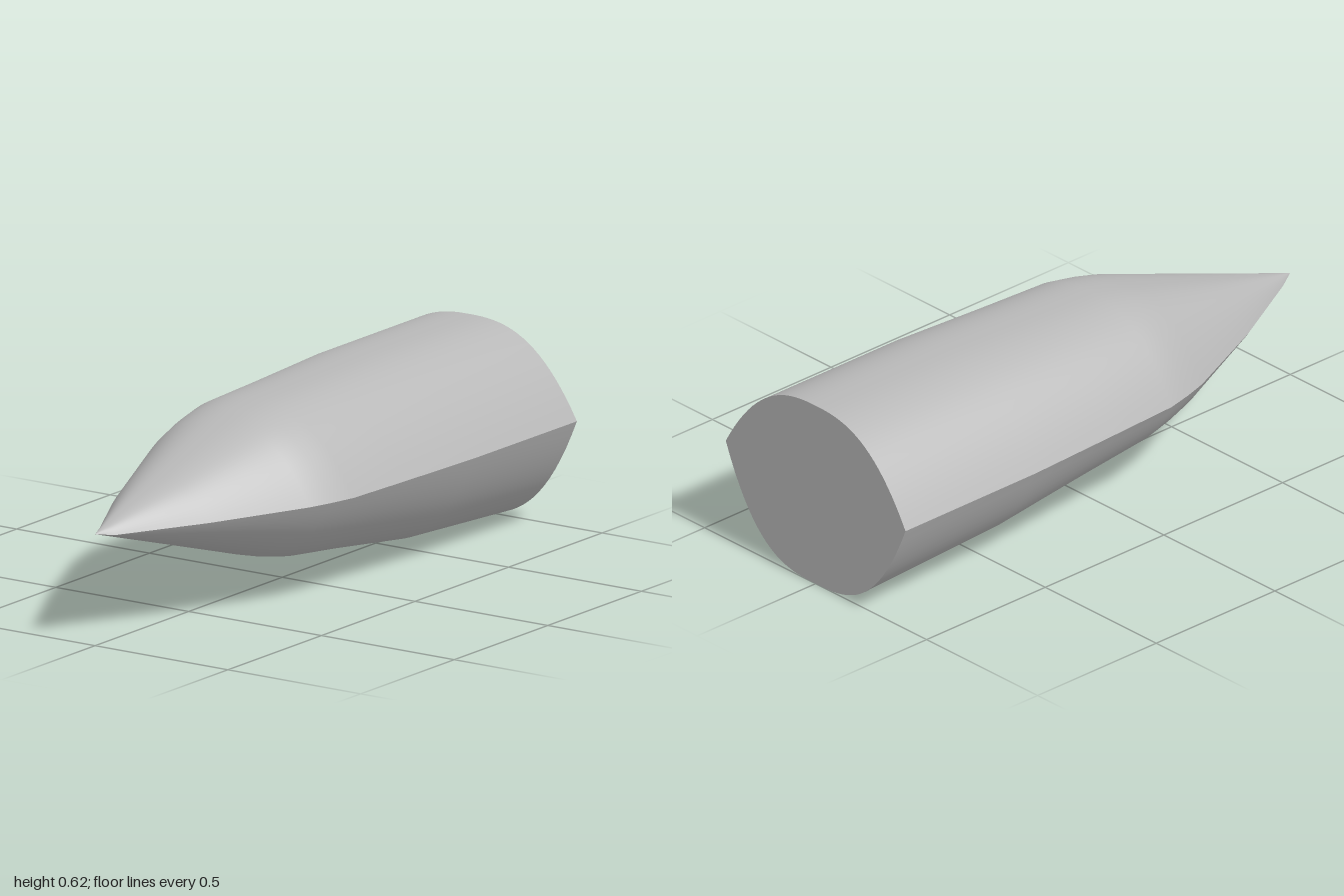
import * as THREE from 'three';

// Stations from tip to base: x, top y, seam y, bottom y, half width
const STATIONS = [
  [-1, 0.355, 0.355, 0.355, 0],
  [-0.94, 0.373, 0.344, 0.337, 0.032],
  [-0.65, 0.462, 0.343, 0.25, 0.185],
  [-0.32, 0.568, 0.343, 0.15, 0.33],
  [-0.24, 0.587, 0.343, 0.128, 0.354],
  [-0.15, 0.601, 0.343, 0.11, 0.375],
  [0.1, 0.608, 0.342, 0.08, 0.387],
  [0.45, 0.621, 0.342, 0.033, 0.404],
  [1, 0.621, 0.341, 0, 0.405],
];
const SEGMENTS = 40;

// One half of a cross-section, flat in the middle and pointed at the seam
function halfSection([x, top, seam, bottom, width], upper) {
  const points = [];
  for (let j = 0; j <= SEGMENTS; j++) {
    const s = (2 * j) / SEGMENTS - 1;
    const bulge = 1 - Math.abs(s) ** (upper ? 2.6 : 2.95);
    points.push([x, seam + ((upper ? top : bottom) - seam) * bulge, s * width]);
  }
  return points;
}

// Skin a list of equal-length point rows
function loft(rows, flip) {
  const geometry = new THREE.BufferGeometry();
  geometry.setAttribute('position', new THREE.Float32BufferAttribute(rows.flat(2), 3));
  const n = rows[0].length;
  const index = [];
  for (let i = 0; i < rows.length - 1; i++) {
    for (let j = 0; j < n - 1; j++) {
      const a = i * n + j, b = a + 1, c = a + n, d = c + 1;
      if (flip) index.push(a, c, b, b, c, d);
      else index.push(a, b, c, b, d, c);
    }
  }
  geometry.setIndex(index);
  geometry.computeVertexNormals();
  return geometry;
}

export function createModel() {
  const group = new THREE.Group();
  group.name = 'pointedHull';
  const grey = new THREE.MeshStandardMaterial({ color: 0xb8b8b8 });
  grey.name = 'grey';

  const add = (name, geometry) => {
    const mesh = new THREE.Mesh(geometry, grey);
    mesh.name = name;
    group.add(mesh);
  };

  // Separate shells keep the side seam sharp
  add('upperShell', loft(STATIONS.map((s) => halfSection(s, true)), false));
  add('lowerShell', loft(STATIONS.map((s) => halfSection(s, false)), true));

  // Flat end
  const base = STATIONS[STATIONS.length - 1];
  add('endCap', loft([halfSection(base, false), halfSection(base, true)], true));

  return group;
}
